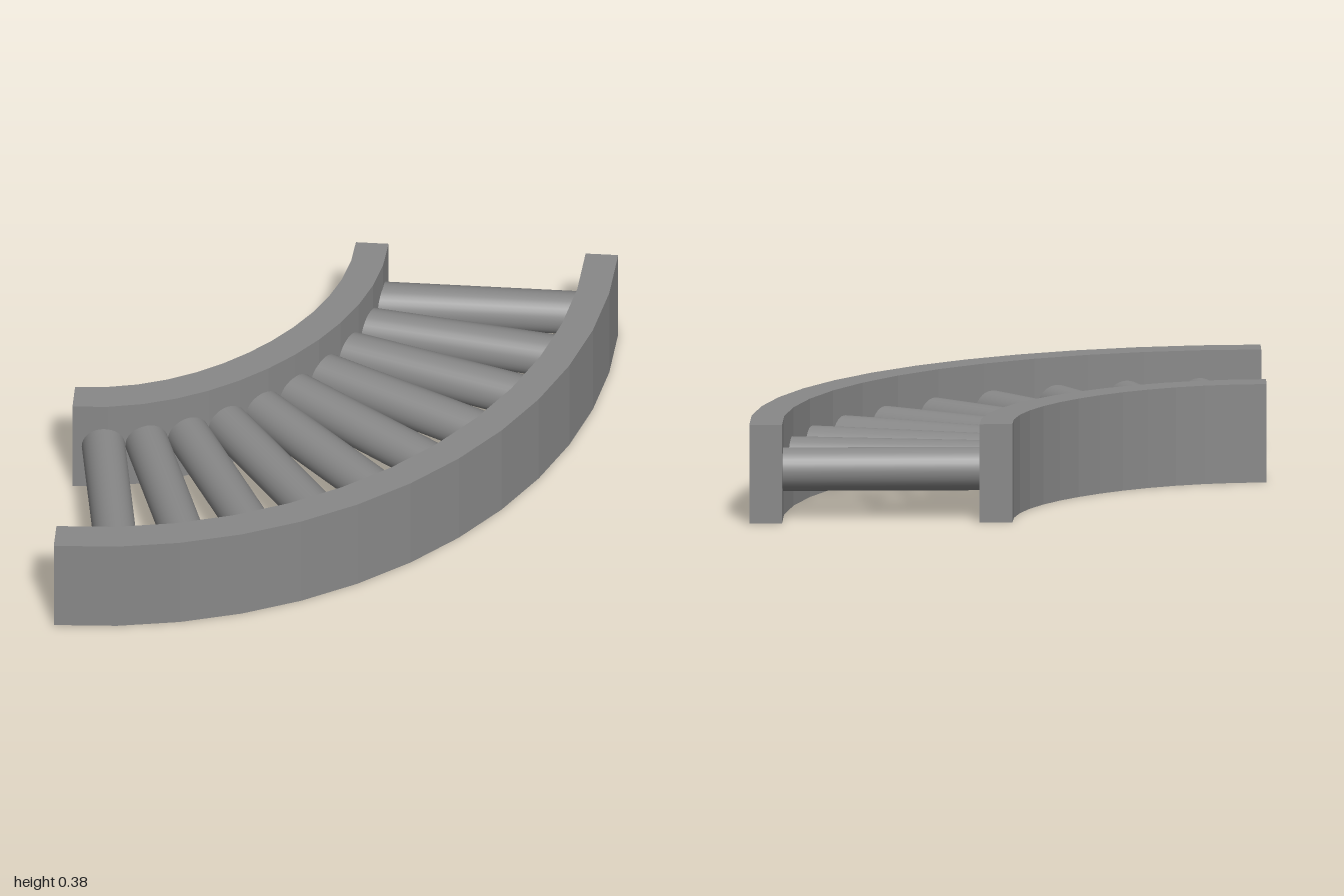
import * as THREE from 'three';

const HEIGHT = 0.38;
const SEGMENTS = 13;

// Quarter-ring side rail with faceted walls; sag flattens the middle of the bend
function makeRail(name, inner, outer, sag, material) {
  const points = [];
  const arc = (radius, i) => {
    const a = (i / SEGMENTS) * Math.PI / 2;
    const r = radius - sag * Math.sin(2 * a) ** 2;
    return new THREE.Vector2(r * Math.cos(a), r * Math.sin(a));
  };
  for (let i = 0; i <= SEGMENTS; i++) points.push(arc(outer, i));
  for (let i = SEGMENTS; i >= 0; i--) points.push(arc(inner, i));
  const geometry = new THREE.ExtrudeGeometry(new THREE.Shape(points), {
    depth: HEIGHT, bevelEnabled: false,
  });
  geometry.rotateX(Math.PI / 2);
  geometry.translate(-1, HEIGHT, -1);
  const rail = new THREE.Mesh(geometry, material);
  rail.name = name;
  return rail;
}

export function createModel() {
  const model = new THREE.Group();
  model.name = 'curvedRollerConveyor';
  const material = new THREE.MeshStandardMaterial({ color: 0x888888 });

  // Side rails
  model.add(makeRail('innerRail', 0.995, 1.12, 0.025, material));
  model.add(makeRail('outerRail', 1.875, 2, 0, material));

  // Rollers fanned around the bend, ends sunk into the rails
  const rollers = new THREE.Group();
  rollers.name = 'rollers';
  rollers.position.set(-0.965, HEIGHT / 2, -0.959);
  const start = 1.02, end = 1.87;
  const geometry = new THREE.CylinderGeometry(0.083, 0.083, end - start, 32);
  geometry.rotateZ(Math.PI / 2);
  geometry.translate((start + end) / 2, 0, 0.085);
  for (let i = 0; i < 10; i++) {
    const roller = new THREE.Mesh(geometry, material);
    roller.name = `roller${i + 1}`;
    roller.rotation.y = -THREE.MathUtils.degToRad(9 * i);
    rollers.add(roller);
  }
  model.add(rollers);

  return model;
}
